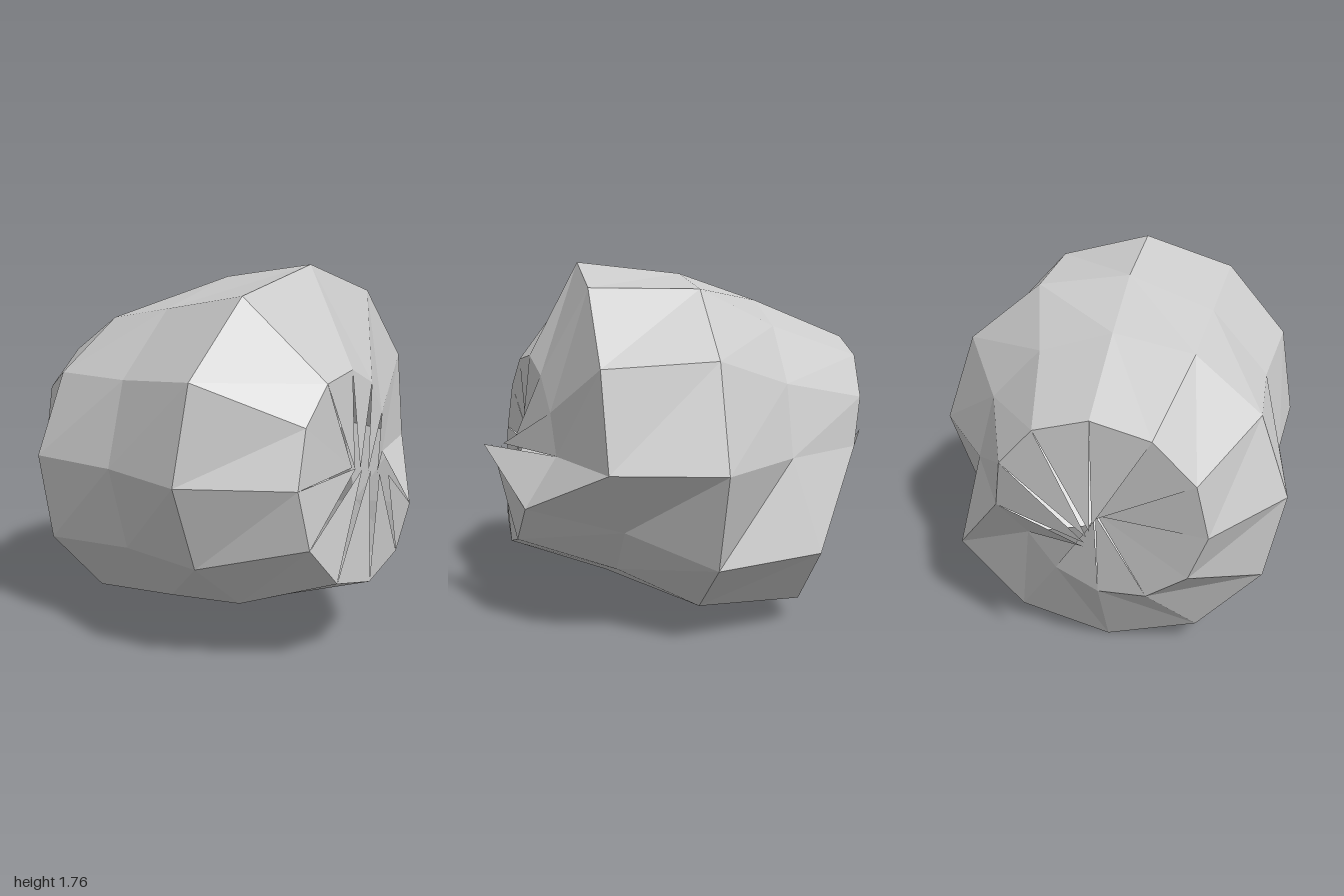
import * as THREE from 'three';

const SEGMENTS = 12;
const RINGS = 6;

// Rippled radius that spirals around the boulder, ring by ring
function radiusAt(ring, segment) {
  const phase = THREE.MathUtils.degToRad(-163 + 109 * (ring - 1) + 21 * segment);
  return 0.89 + 0.13 * Math.cos(phase);
}

export function createModel() {
  // Low-poly sphere with its poles on the z axis and its seam on +x
  const geometry = new THREE.SphereGeometry(1, SEGMENTS, RINGS);
  geometry.rotateX(Math.PI / 2);
  geometry.rotateZ(Math.PI);

  // Push each vertex in or out; the last column repeats the first to close the seam
  const position = geometry.attributes.position;
  const point = new THREE.Vector3();
  for (let ring = 0; ring <= RINGS; ring++) {
    for (let column = 0; column <= SEGMENTS; column++) {
      const index = ring * (SEGMENTS + 1) + column;
      point.fromBufferAttribute(position, index);
      point.multiplyScalar(radiusAt(ring, column % SEGMENTS));
      position.setXYZ(index, point.x, point.y, point.z);
    }
  }
  geometry.translate(-0.08, 0.88, 0);
  geometry.computeVertexNormals();

  // Double sided, because the facets at the poles leave narrow clefts
  const material = new THREE.MeshStandardMaterial({
    color: 0xcccccc,
    flatShading: true,
    side: THREE.DoubleSide,
  });
  const boulder = new THREE.Mesh(geometry, material);
  boulder.name = 'boulder';

  const group = new THREE.Group();
  group.name = 'rock';
  group.add(boulder);
  return group;
}
